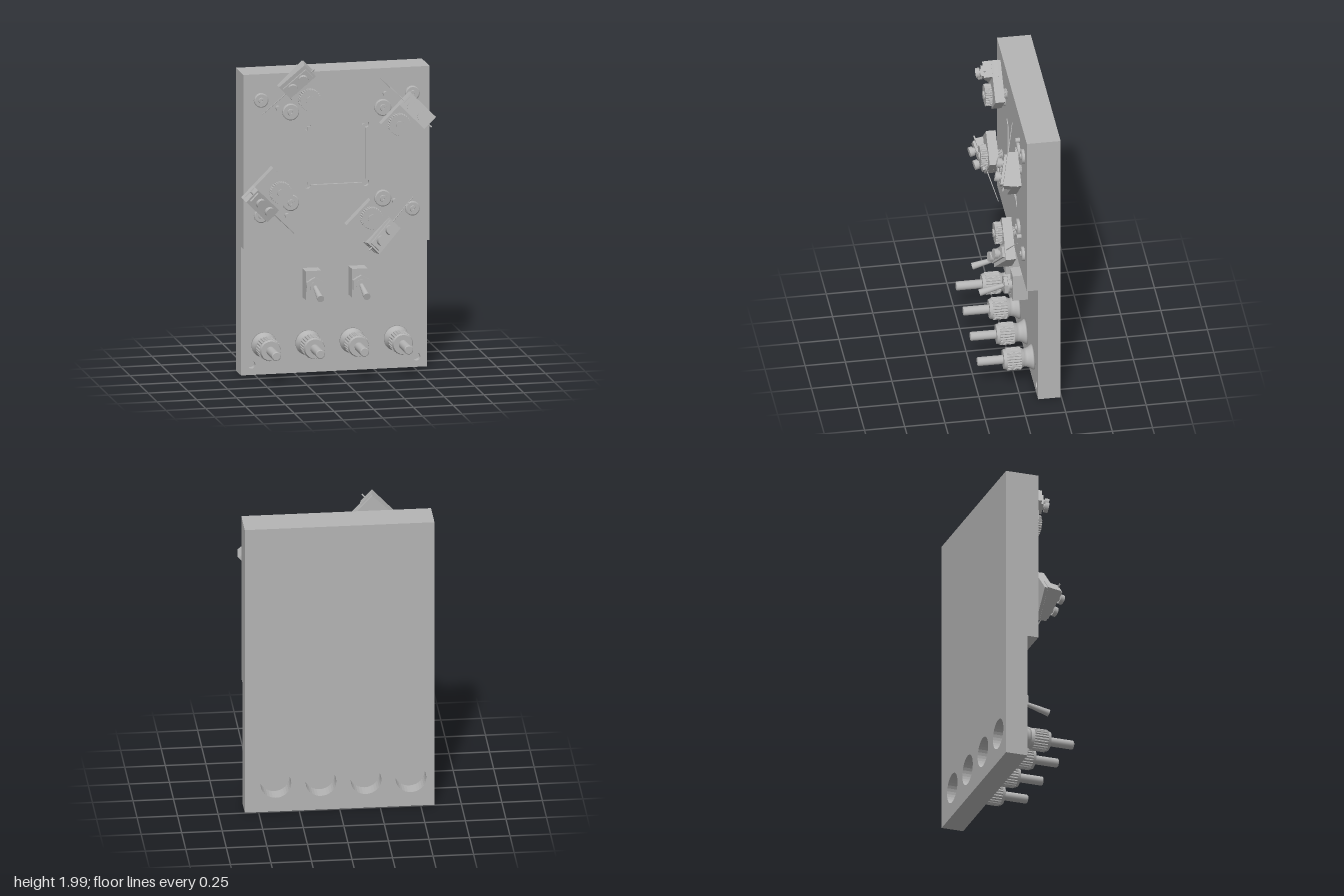
import * as THREE from 'three';

const grey = new THREE.MeshStandardMaterial({ color: 0xb4b4b4 });
grey.name = 'machinedGrey';

function add(parent, geo, name, x = 0, y = 0, z = 0) {
  const m = new THREE.Mesh(geo, grey);
  m.name = name;
  m.position.set(x, y, z);
  parent.add(m);
  return m;
}
const box = (w, h, d) => new THREE.BoxGeometry(w, h, d);
// Cylinder along z, standing on z = 0
const rod = (r, len, sides = 24, r2 = r) =>
  new THREE.CylinderGeometry(r2, r, len, sides).rotateX(Math.PI / 2).translate(0, 0, len / 2);
const extrude = (shape, depth) =>
  new THREE.ExtrudeGeometry(shape, { depth, bevelEnabled: false, curveSegments: 16 });

function rect(x0, y0, x1, y1) {
  const s = new THREE.Shape();
  s.moveTo(x0, y0); s.lineTo(x1, y0); s.lineTo(x1, y1); s.lineTo(x0, y1); s.closePath();
  return s;
}
function hole(shape, x, y, r) {
  const p = new THREE.Path();
  p.absarc(x, y, r, 0, Math.PI * 2, true);
  shape.holes.push(p);
}
// Gear-like outline for knurled grips
function knurl(r, depth, teeth) {
  const s = new THREE.Shape();
  for (let i = 0; i < teeth * 4; i++) {
    const a = (i / (teeth * 4)) * Math.PI * 2, q = i % 4 < 2 ? r : r - 0.005;
    if (i) s.lineTo(q * Math.cos(a), q * Math.sin(a)); else s.moveTo(q, 0);
  }
  s.closePath();
  return extrude(s, depth);
}
class Helix extends THREE.Curve {
  getPoint(t, target = new THREE.Vector3()) {
    const a = t * Math.PI * 7;
    return target.set(0.029 * Math.cos(a), 0.029 * Math.sin(a), -0.035 + t * 0.035);
  }
}

const postX = [-0.44, -0.163, 0.115, 0.393];

function basePlate() {
  const g = new THREE.Group();
  g.name = 'basePlate';
  // Back layer with round pockets behind the terminals
  const back = rect(-0.585, 0, 0.585, 1.905);
  postX.forEach(x => hole(back, x, 0.187, 0.095));
  add(g, extrude(back, 0.1), 'backLayer', 0, 0, -0.245);
  // Thin lower front with screw holes
  const lower = rect(-0.585, 0, 0.585, 0.81);
  [-0.52, 0.518].forEach(x => hole(lower, x, 0.065, 0.025));
  add(g, extrude(lower, 0.04), 'lowerFront', 0, 0, -0.145);
  // Raised upper part with a square pocket relieved at its corners
  add(g, box(1.17, 1.095, 0.085), 'upperBody', 0, 1.3575, -0.1025);
  const upper = rect(-0.585, 0.81, 0.585, 1.905);
  const pocket = new THREE.Path();
  const c = 0.183;
  [[c, c], [c, -c], [-c, -c], [-c, c]].forEach(([x, y], i) => {
    const a = Math.PI - i * Math.PI / 2;
    pocket.absarc(x, 1.375 + y, 0.022, a, a - Math.PI * 1.5, true);
  });
  pocket.closePath();
  upper.holes.push(pocket);
  add(g, extrude(upper, 0.025), 'upperFront', 0, 0, -0.06);
  add(g, box(0.362, 0.362, 0.015), 'samplePanel', 0, 1.375, -0.0525);
  return g;
}

// Probe holder: needle along local +x, knob towards local +y
function probe(x, y, degrees) {
  const g = new THREE.Group();
  g.name = 'probeHolder';
  g.position.set(x, y, 0);
  g.rotation.z = THREE.MathUtils.degToRad(degrees);
  add(g, box(0.215, 0.265, 0.06), 'holderBlock', -0.008, 0.078, 0.03);
  // Sloping wedge under the clamp
  const side = new THREE.Shape();
  side.moveTo(-0.12, 0.02); side.lineTo(0.1, 0.02); side.lineTo(0.1, 0.062);
  side.lineTo(-0.105, 0.113); side.closePath();
  add(g, extrude(side, 0.103).rotateX(Math.PI / 2), 'wedge', 0, 0.047, 0);
  // Tilted clamp plate, screws and needle
  const tilt = new THREE.Group();
  tilt.name = 'clamp';
  tilt.position.set(-0.002, 0, 0.087);
  tilt.rotation.y = 0.245;
  g.add(tilt);
  add(tilt, box(0.19, 0.066, 0.016), 'clampPlate', 0, 0, 0.008);
  [-0.043, 0.043].forEach(u => {
    add(tilt, rod(0.02, 0.012), 'screwNeck', u, 0, 0.016);
    add(tilt, rod(0.031, 0.026), 'screwHead', u, 0, 0.028);
  });
  const needle = rod(0.005, 0.435, 10, 0.002).rotateY(Math.PI / 2);
  add(tilt, needle, 'needle', -0.13, 0.008, -0.008);
  // Height adjustment knob with its spring
  add(g, rod(0.045, 0.008), 'knobCollar', 0.022, 0.133, 0.058);
  add(g, knurl(0.069, 0.042, 28), 'knob', 0.022, 0.133, 0.064);
  add(g, rod(0.026, 0.155), 'adjusterScrew', 0.022, 0.133, -0.04);
  add(g, new THREE.TubeGeometry(new Helix(), 90, 0.004, 6), 'spring', 0.022, 0.133, 0);
  return g;
}

// Low screw with a raised rim
function rimScrew(parent, x, y, r) {
  const pts = [[r, 0], [r, 0.014], [r - 0.006, 0.018], [r * 0.42, 0.018], [r * 0.38, 0.026], [0.008, 0.026], [0.008, 0.012], [0, 0.012]];
  const geo = new THREE.LatheGeometry(pts.map(p => new THREE.Vector2(...p)), 28).rotateX(Math.PI / 2).toNonIndexed();
  geo.computeVertexNormals();
  add(parent, geo, 'rimScrew', x, y, -0.035);
}

function toggle(x) {
  const g = new THREE.Group();
  g.name = 'toggleSwitch';
  g.position.set(x, 0.566, 0);
  add(g, box(0.098, 0.182, 0.096), 'switchBody', 0, 0, -0.058);
  add(g, rod(0.033, 0.055), 'bushing', 0, 0, -0.012);
  add(g, rod(0.052, 0.006), 'washer', 0, 0, 0.01);
  add(g, rod(0.06, 0.022, 6).toNonIndexed(), 'hexNut', 0, 0, 0.018).geometry.computeVertexNormals();
  const lever = add(g, rod(0.013, 0.165, 20, 0.022), 'lever', 0, 0, 0.03);
  lever.rotation.x = 0.26;
  return g;
}

function terminal(x) {
  const g = new THREE.Group();
  g.name = 'terminalPost';
  g.position.set(x, 0.187, 0);
  // Flared foot
  const foot = [[0, -0.106], [0.08, -0.106], [0.078, -0.095], [0.066, -0.078], [0.058, -0.06], [0.055, -0.035], [0, -0.035]];
  add(g, new THREE.LatheGeometry(foot.map(p => new THREE.Vector2(...p)), 32).rotateX(Math.PI / 2), 'flaredFoot');
  add(g, rod(0.055, 0.02, 32, 0.066), 'gripBase', 0, 0, -0.045);
  add(g, knurl(0.07, 0.088, 24), 'grip', 0, 0, -0.025);
  add(g, rod(0.066, 0.02, 32, 0.06), 'gripTop', 0, 0, 0.063);
  add(g, rod(0.028, 0.156), 'shaft', 0, 0, 0.082);
  add(g, rod(0.028, 0.005, 24, 0.024), 'shaftTip', 0, 0, 0.238);
  return g;
}

export function createModel() {
  const model = new THREE.Group();
  model.name = 'probeStation';
  model.add(basePlate());
  [[-0.272, 1.868, 223.8], [0.479, 1.651, 134.5], [-0.487, 1.103, -45], [0.272, 0.884, 45]]
    .forEach(p => model.add(probe(...p)));
  // Screws and guide pins on the upper face
  [-1, 1].forEach(s => {
    [1.66, 1.09].forEach(y => rimScrew(model, s * 0.29, y, 0.052));
    [1.742, 1.017].forEach(y => rimScrew(model, s * 0.476, y, 0.045));
  });
  [[-0.37, 1.688], [0.305, 1.746], [-0.312, 1.01], [0.363, 1.069]]
    .forEach(([x, y]) => add(model, rod(0.015, 0.03, 16), 'guidePin', x, y, -0.037));
  [-0.15, 0.141].forEach(x => model.add(toggle(x)));
  postX.forEach(x => model.add(terminal(x)));
  return model;
}
